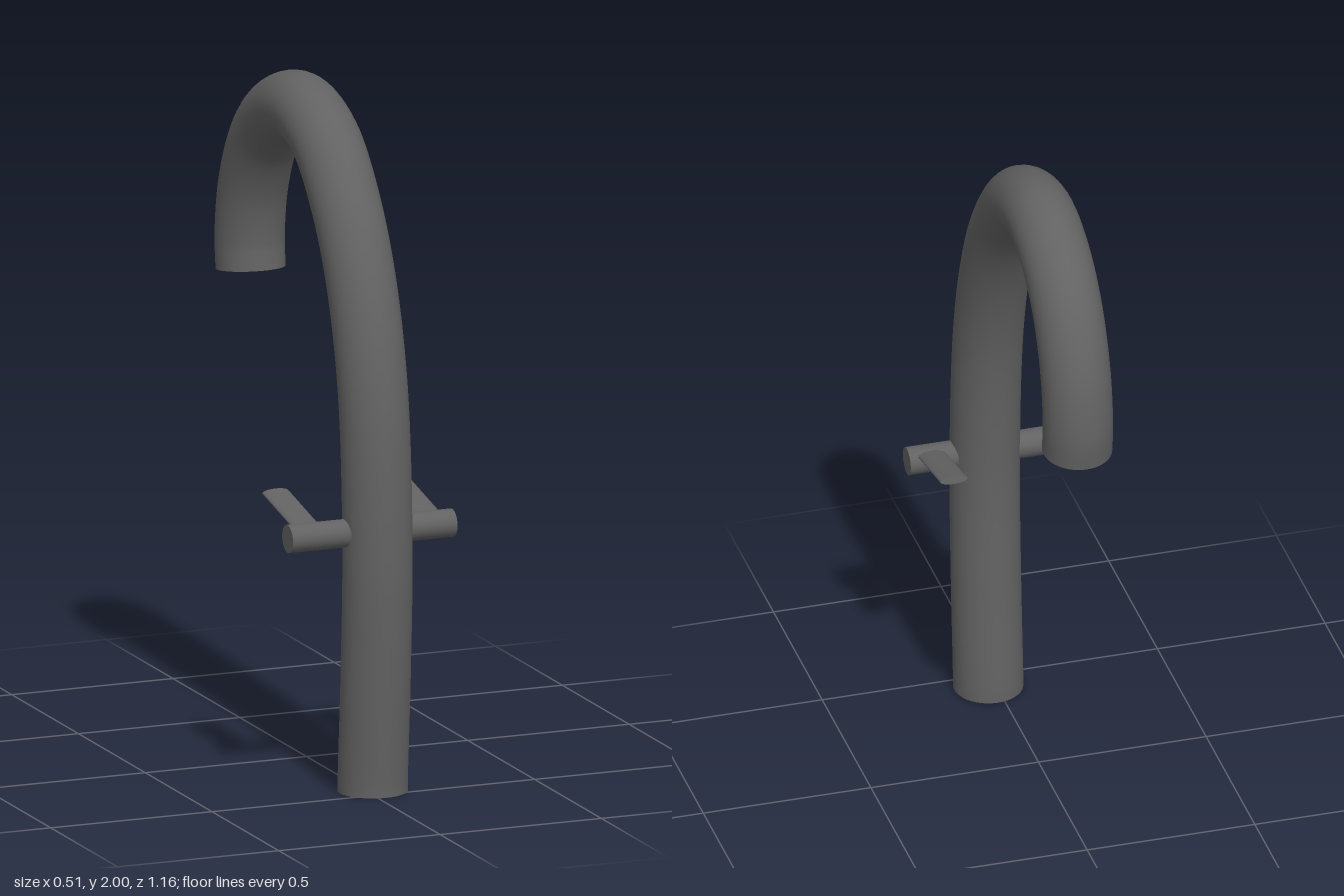
import * as THREE from 'three';

export function createModel() {
  const model = new THREE.Group();
  const color = 0x626262;
  const solid = new THREE.MeshStandardMaterial({ color });
  const open = new THREE.MeshStandardMaterial({ color, side: THREE.DoubleSide });

  function add(geometry, name, material = solid) {
    const mesh = new THREE.Mesh(geometry, material);
    mesh.name = name;
    model.add(mesh);
    return mesh;
  }

  // Spout: a round open pipe that rises, arches over and hangs down at the back
  const profile = [ // z, y
    [0.445, 0.004], [0.4448, 0.03], [0.467, 0.35], [0.48, 0.75], [0.443, 1.2], [0.352, 1.5],
    [0.235, 1.7], [0.09, 1.845], [-0.085, 1.899], [-0.24, 1.857], [-0.363, 1.755],
    [-0.45, 1.59], [-0.477, 1.43], [-0.472, 1.361], [-0.4695, 1.339],
  ];
  const path = new THREE.CatmullRomCurve3(profile.map(([z, y]) => new THREE.Vector3(0.021, y, z)));
  add(new THREE.TubeGeometry(path, 96, 0.101, 40), 'spout', open);

  // Crossbar through the pipe
  const bar = add(new THREE.CylinderGeometry(0.041, 0.041, 0.51, 32), 'valveBar');
  bar.rotation.z = Math.PI / 2;
  bar.position.set(0, 0.779, 0.474);

  // Flattened levers sloping up towards the back
  const from = new THREE.Vector3(0, 0.801, 0.464);
  const to = new THREE.Vector3(0, 0.853, 0.221);
  const axis = to.clone().sub(from);
  for (const [side, name] of [[1, 'leftLever'], [-1, 'rightLever']]) {
    const geometry = new THREE.CylinderGeometry(0.041, 0.041, axis.length(), 32);
    geometry.scale(1, 1, 0.28);
    const lever = add(geometry, name);
    lever.quaternion.setFromUnitVectors(new THREE.Vector3(0, 1, 0), axis.clone().normalize());
    lever.position.copy(from).add(to).multiplyScalar(0.5);
    lever.position.x = side * 0.188;
  }

  return model;
}
